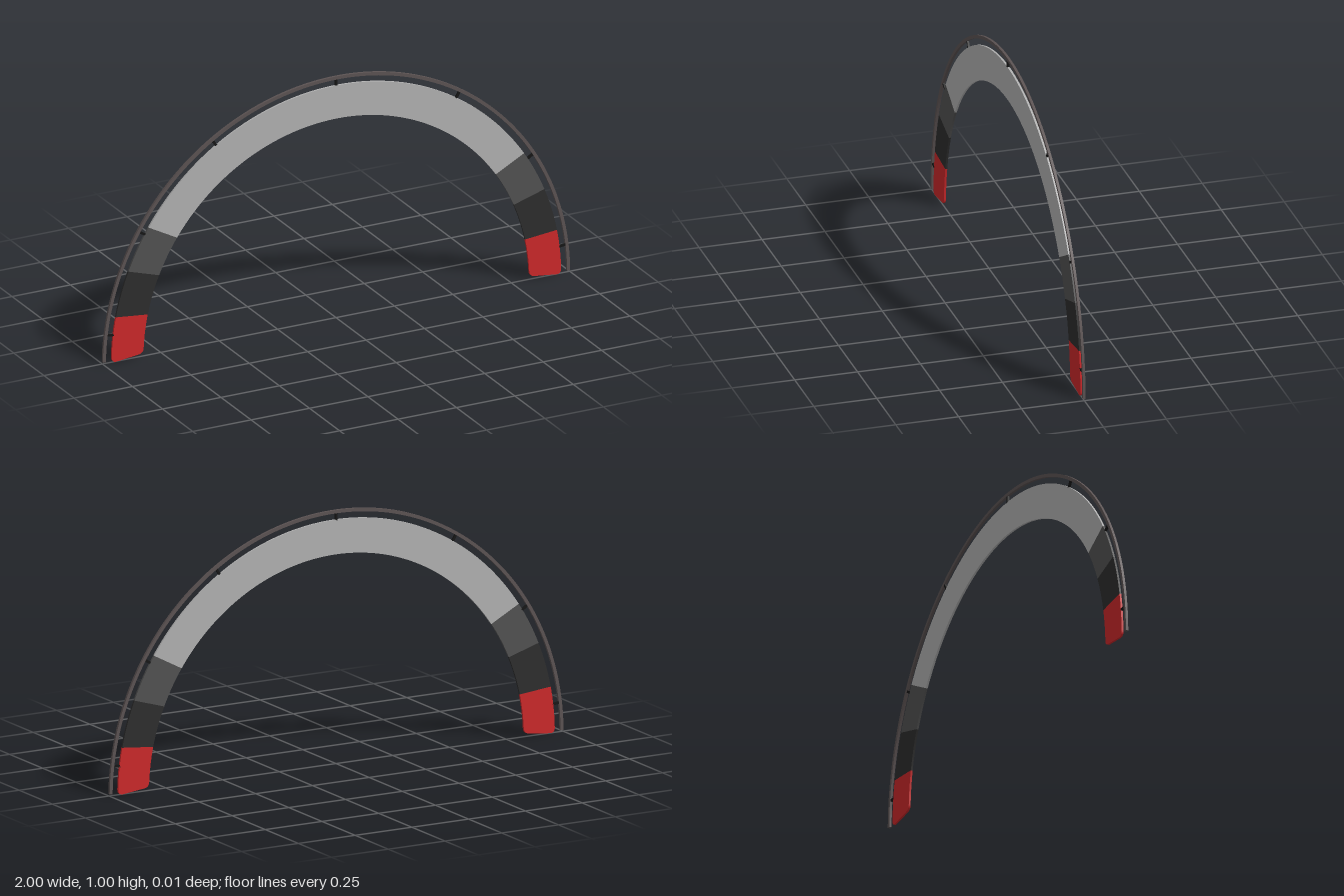
import * as THREE from 'three';

const BAND_IN = 0.826, BAND_OUT = 0.962, RAIL_IN = 0.987, RAIL_OUT = 1;
const RAD = Math.PI / 180, SKEW = 0.9;

const polar = (r, deg) => new THREE.Vector2(r * Math.cos(deg * RAD), r * Math.sin(deg * RAD));

// Points along an arc from angle a to angle b (degrees)
function arc(r, a, b) {
  const n = Math.max(6, Math.ceil(Math.abs(b - a) / 1.5));
  return Array.from({ length: n + 1 }, (_, i) => polar(r, a + ((b - a) * i) / n));
}

// Ring segment; skew tilts the end cuts slightly away from radial
function segment(rIn, rOut, a, b, skewA = 0, skewB = 0) {
  return [...arc(rOut, a, b), ...arc(rIn, b + skewB, a + skewA)];
}

// Bottom end segment with its two lower corners rounded
function tip(top) {
  const outer = polar(BAND_OUT, 0.1), inner = polar(BAND_IN, 1.2);
  const along = inner.clone().sub(outer).normalize().multiplyScalar(0.022);
  const round = (p, c, q) => new THREE.QuadraticBezierCurve(p, c, q).getPoints(8);
  return [
    ...arc(BAND_OUT, 1.5, top),
    ...arc(BAND_IN, top + SKEW, 2.7),
    ...round(polar(BAND_IN, 2.7), inner, inner.clone().sub(along)),
    ...round(outer.clone().add(along), outer, polar(BAND_OUT, 1.5)),
  ];
}

export function createModel() {
  const group = new THREE.Group();
  const material = (color) => new THREE.MeshStandardMaterial({ color });
  const grey = material(0xb2b2b2), midGrey = material(0x525252), dark = material(0x2d2d2d);
  const red = material(0xcc282a), railGrey = material(0x5c5353), black = material(0x161616);

  // Flat plate from an outline, centred on z = 0; side -1 mirrors it
  function plate(name, points, depth, mat, side = 1) {
    const shape = new THREE.Shape(points.map((p) => new THREE.Vector2(p.x * side, p.y)));
    const geometry = new THREE.ExtrudeGeometry(shape, { depth, bevelEnabled: false });
    geometry.translate(0, 0, -depth / 2);
    const mesh = new THREE.Mesh(geometry, mat);
    mesh.name = name;
    group.add(mesh);
  }

  // Thin outer rail and the main central band
  plate('outerRail', segment(RAIL_IN, RAIL_OUT, 0.6, 179.4), 0.01, railGrey);
  plate('centreBand', segment(BAND_IN, BAND_OUT, 33.4, 146.6, SKEW, -SKEW), 0.008, grey);

  // Graded end segments on both sides
  for (const [label, side] of [['left', 1], ['right', -1]]) {
    plate(label + 'UpperSegment', segment(BAND_IN, BAND_OUT, 22.3, 33.4, SKEW, SKEW), 0.008, midGrey, side);
    plate(label + 'LowerSegment', segment(BAND_IN, BAND_OUT, 11.2, 22.3, SKEW, SKEW), 0.008, dark, side);
    plate(label + 'EndSegment', tip(11.2), 0.008, red, side);
  }

  // Tick marks bridging the gap between rail and band
  for (const angle of [6.9, 31.6, 57.7, 90, 122.3, 148.4, 173.1]) {
    const tick = new THREE.Mesh(new THREE.BoxGeometry(0.032, 0.009, 0.008), black);
    const p = polar(0.975, angle);
    tick.position.set(p.x, p.y, 0);
    tick.rotation.z = angle * RAD;
    tick.name = 'tickMark';
    group.add(tick);
  }

  return group;
}
